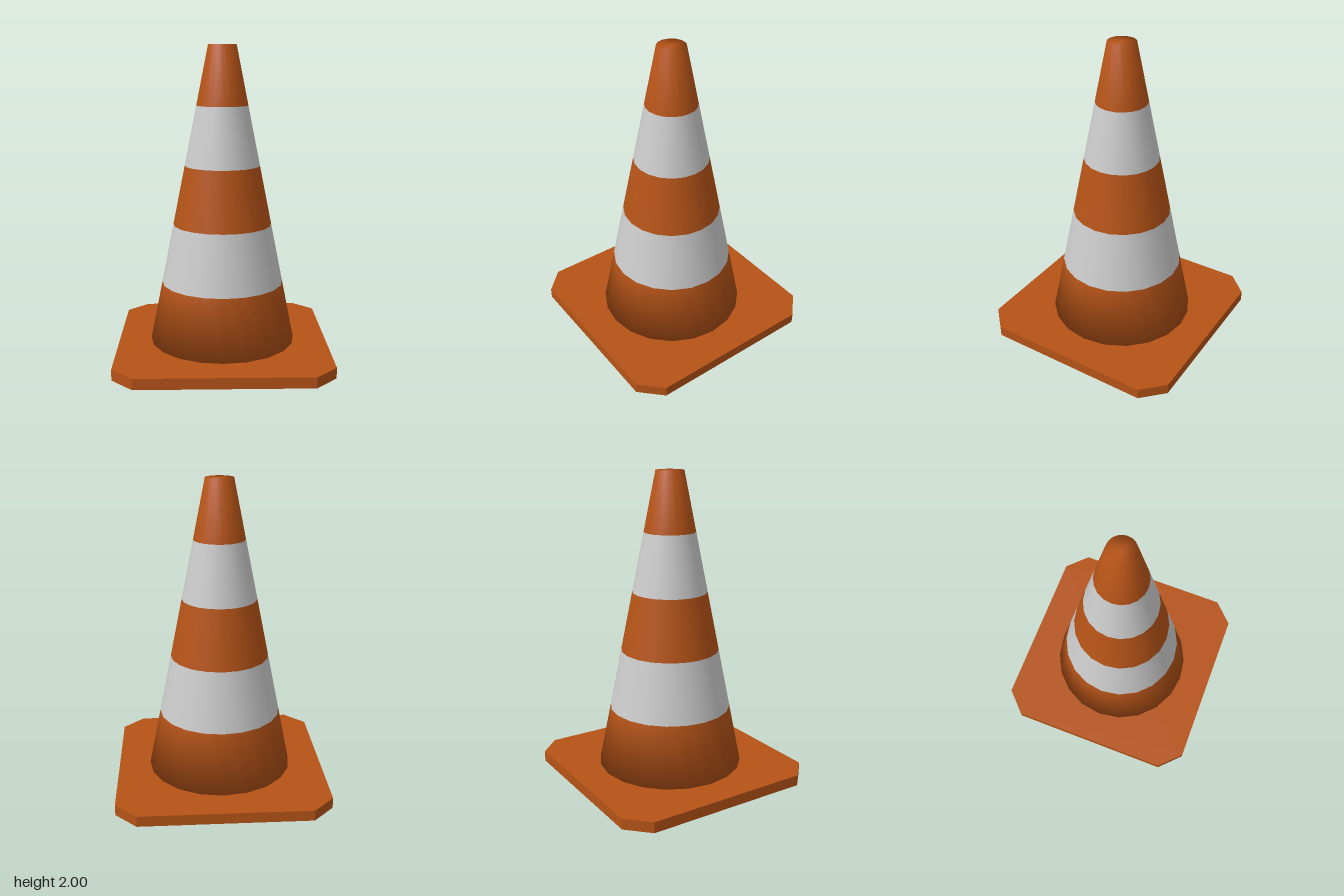
import * as THREE from 'three';

const orange = new THREE.MeshStandardMaterial({ color: 0xb55317 });
const grey = new THREE.MeshStandardMaterial({ color: 0xcccccc });

const BOTTOM = 0.07, TOP = 2, R_BOTTOM = 0.475, R_TOP = 0.09, SIDES = 20;

// Cone radius at a given height
const radiusAt = (y) => THREE.MathUtils.mapLinear(y, BOTTOM, TOP, R_BOTTOM, R_TOP);

function addMesh(group, name, geometry, material) {
  const mesh = new THREE.Mesh(geometry, material);
  mesh.name = name;
  group.add(mesh);
}

// Square slab with cut corners
function baseGeometry(half, cut, height) {
  const c = half - cut;
  const outline = [[half, -c], [half, c], [c, half], [-c, half], [-half, c], [-half, -c], [-c, -half], [c, -half]];
  const shape = new THREE.Shape(outline.map(([x, y]) => new THREE.Vector2(x, y)));
  return new THREE.ExtrudeGeometry(shape, { depth: height, bevelEnabled: false }).rotateX(-Math.PI / 2);
}

export function createModel() {
  const group = new THREE.Group();
  group.name = 'trafficCone';
  addMesh(group, 'base', baseGeometry(0.683, 0.137, BOTTOM), orange);

  // Stacked bands in alternating colours; the end bands carry softly shaded caps
  const levels = [BOTTOM, 0.46, 0.847, 1.232, 1.617, TOP];
  const names = ['lowerBand', 'lowerStripe', 'middleBand', 'upperStripe', 'tipBand'];
  names.forEach((name, i) => {
    const profile = [levels[i], levels[i + 1]].map((y) => new THREE.Vector2(radiusAt(y), y));
    if (i === 0) profile.unshift(new THREE.Vector2(0, BOTTOM));
    if (i === names.length - 1) profile.push(new THREE.Vector2(0, TOP));
    addMesh(group, name, new THREE.LatheGeometry(profile, SIDES), i % 2 ? grey : orange);
  });
  return group;
}
